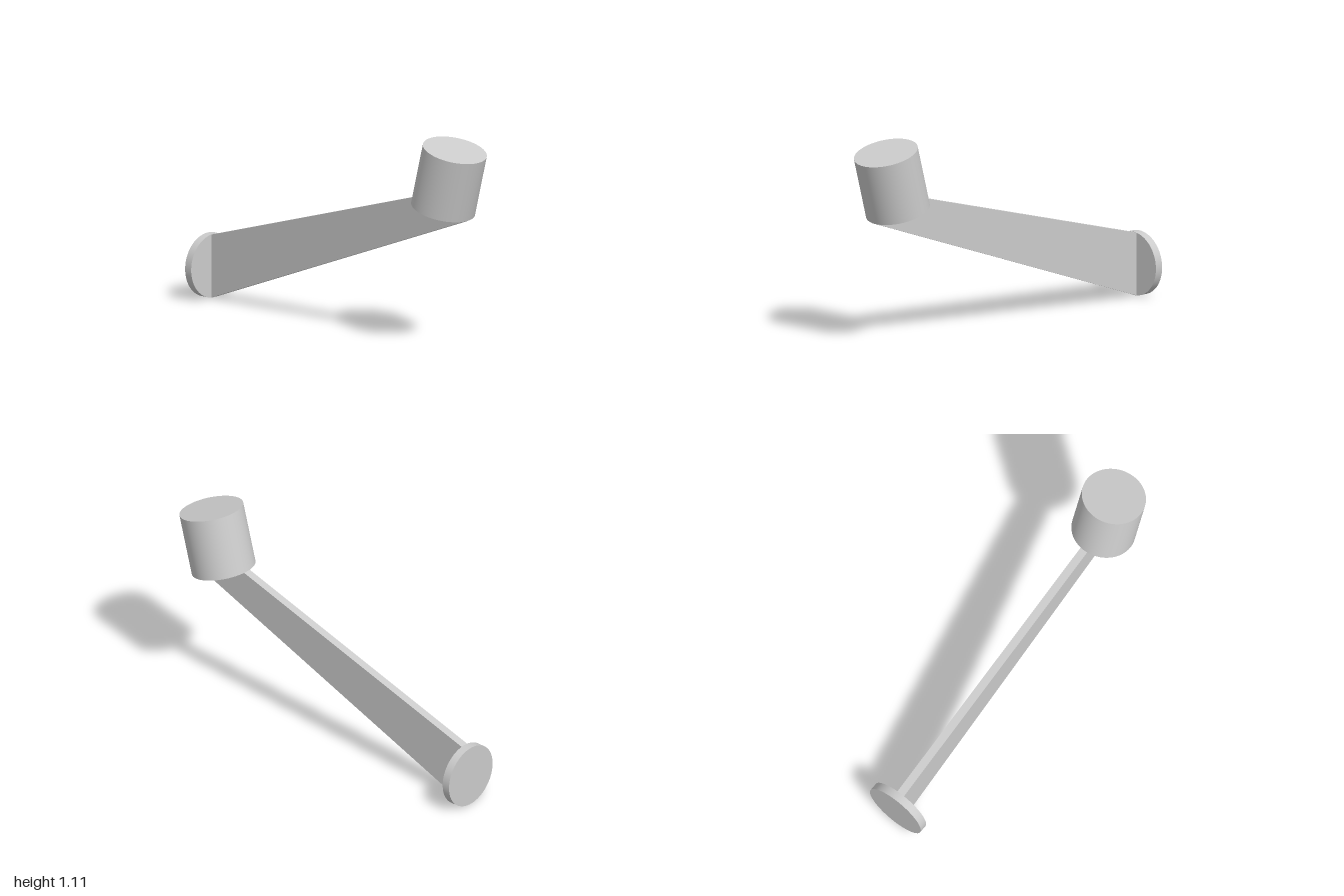
import * as THREE from 'three';

export function createModel() {
  const group = new THREE.Group();
  const material = new THREE.MeshStandardMaterial({ color: 0xcccccc });
  const radius = 0.171, cupHeight = 0.338, tilt = THREE.MathUtils.degToRad(15);
  const plate = 0.045, armDepth = 0.044;

  const add = (name, geometry) => {
    const mesh = new THREE.Mesh(geometry, material);
    mesh.name = name;
    group.add(mesh);
    return mesh;
  };

  // Round mounting plate, standing upright
  const base = add('mountingPlate', new THREE.CylinderGeometry(radius, radius, plate, 96));
  base.rotation.z = Math.PI / 2;
  base.position.set(-1 + plate / 2, radius, 0);

  // Tilted cylindrical head
  const head = add('head', new THREE.CylinderGeometry(radius, radius, cupHeight, 96));
  head.rotation.z = -tilt;
  head.position.set(0.791, 0.904, 0);
  head.updateMatrix();

  // Flat tapering arm from the plate to the underside of the head
  const underside = [-radius, radius].map((x) =>
    new THREE.Vector3(x, -cupHeight / 2, 0).applyMatrix4(head.matrix));
  const outline = new THREE.Shape([
    new THREE.Vector2(-1 + plate, 0.002),
    new THREE.Vector2(underside[1].x, underside[1].y),
    new THREE.Vector2(underside[0].x, underside[0].y),
    new THREE.Vector2(-1 + plate, 2 * radius - 0.002),
  ]);
  const arm = add('arm', new THREE.ExtrudeGeometry(outline, { depth: armDepth, bevelEnabled: false }));
  arm.position.z = -armDepth / 2;

  return group;
}
